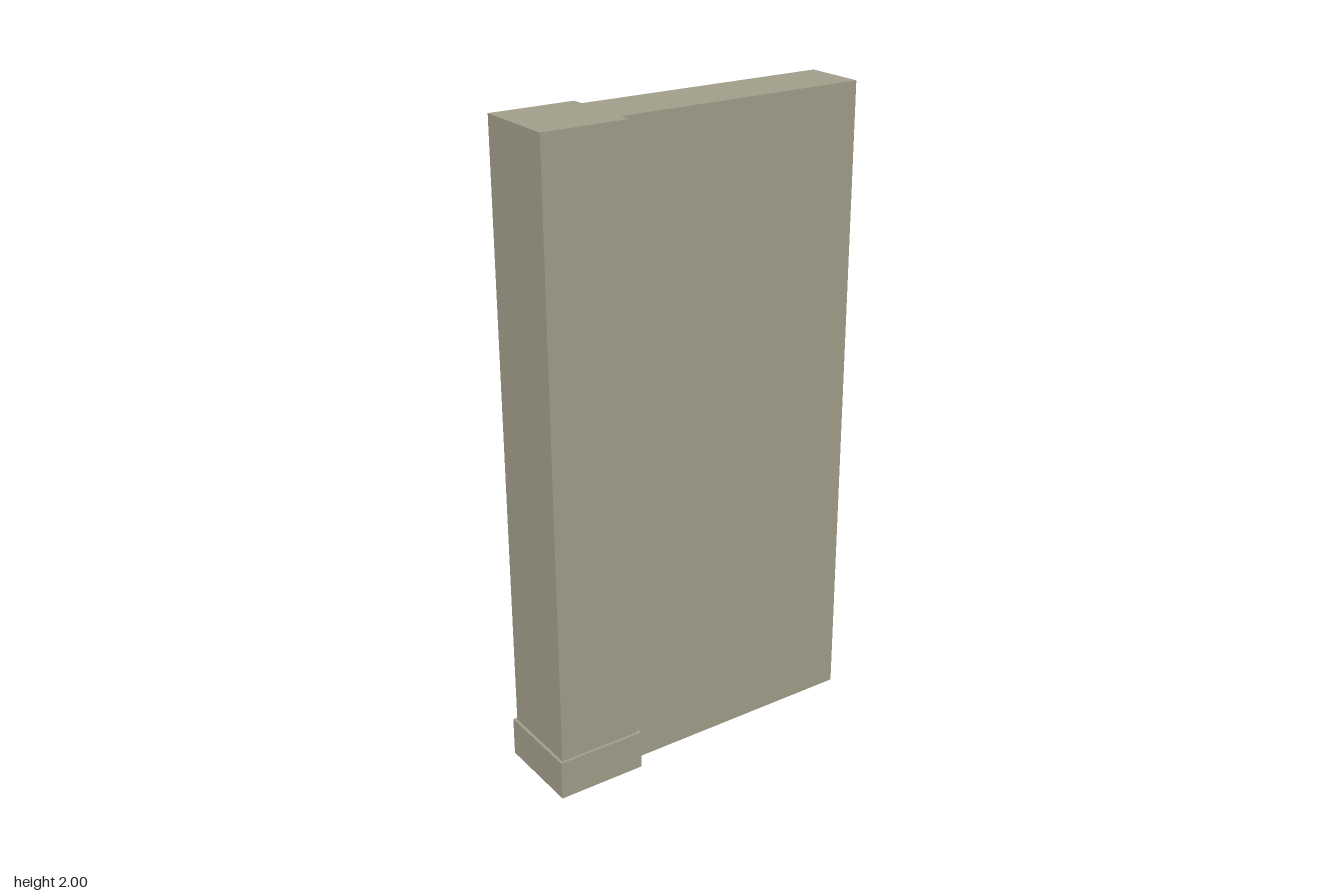
import * as THREE from 'three';

const HEIGHT = 2, PLINTH_HEIGHT = 0.124;
const WALL_END = 0.537, WALL_Z = 0.096;
const PIER = { left: -0.528, right: -0.263, z: 0.134 };
const PLINTH = { left: -0.537, right: -0.254, z: 0.143 };

// Extrude a floor plan, given as [x, z] points, upwards from y = 0
function extrudePlan(points, height) {
  const shape = new THREE.Shape(points.map(([x, z]) => new THREE.Vector2(x, -z)));
  const geometry = new THREE.ExtrudeGeometry(shape, { depth: height, bevelEnabled: false });
  return geometry.rotateX(-Math.PI / 2);
}

// Add the back half of a plan that is symmetric about z = 0
function mirrorPlan(half) {
  return [...half, ...half.map(([x, z]) => [x, -z]).reverse()];
}

export function createModel() {
  const group = new THREE.Group();
  group.name = 'wallEnd';
  const stone = new THREE.MeshStandardMaterial({ color: 0xa29e8b });
  stone.name = 'stone';

  const add = (name, plan, height) => {
    const mesh = new THREE.Mesh(extrudePlan(plan, height), stone);
    mesh.name = name;
    group.add(mesh);
  };

  // Wall and its thicker end pier, in one piece
  add('wallWithPier', mirrorPlan([
    [PIER.left, PIER.z], [PIER.right, PIER.z],
    [PIER.right, WALL_Z], [WALL_END, WALL_Z],
  ]), HEIGHT);

  // Plinth band wrapping the foot of the pier, stopping against the wall
  add('plinth', mirrorPlan([
    [PLINTH.left, PLINTH.z], [PLINTH.right, PLINTH.z],
    [PLINTH.right, WALL_Z], [PIER.right, WALL_Z],
    [PIER.right, PIER.z], [PIER.left, PIER.z],
  ]), PLINTH_HEIGHT);

  return group;
}
